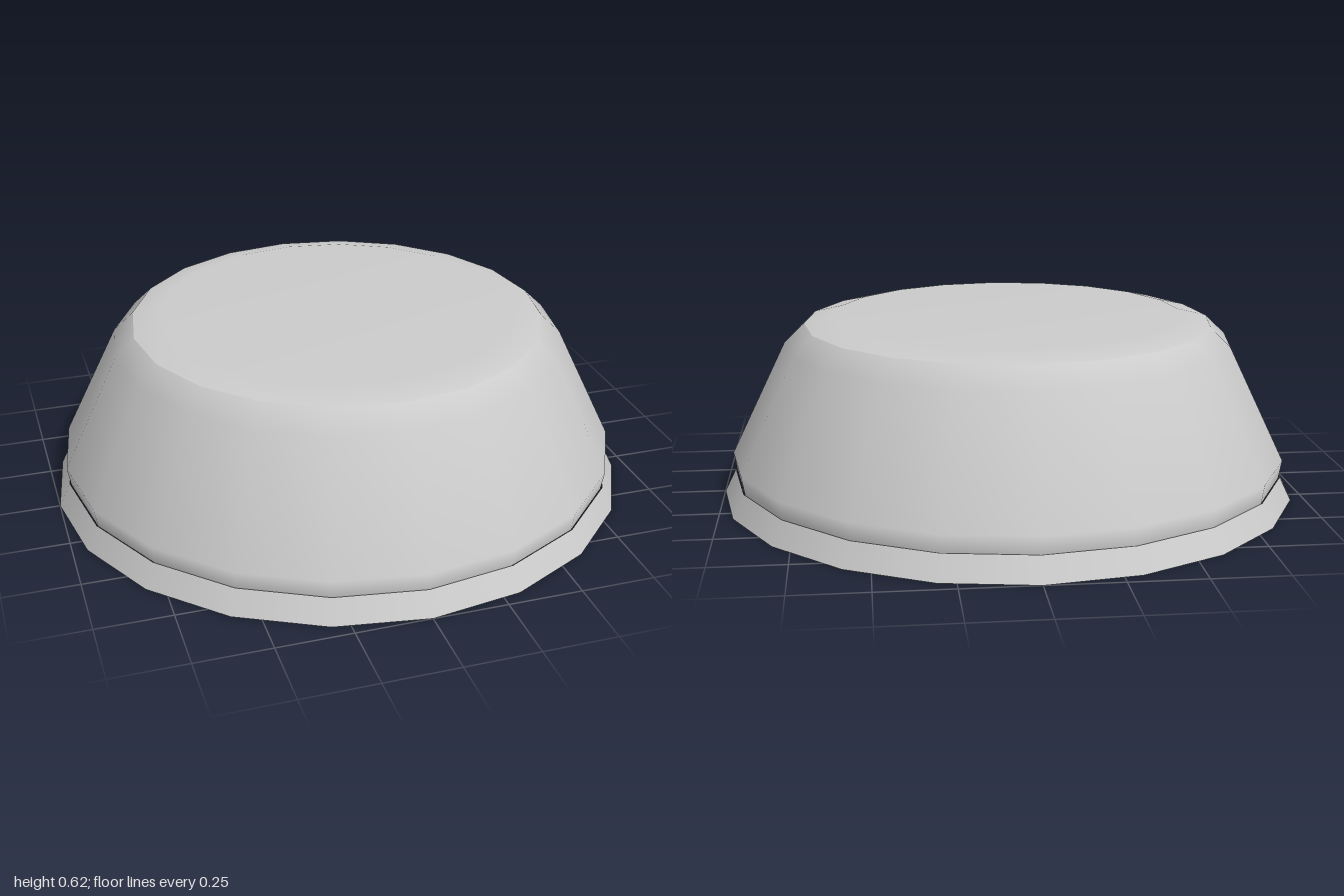
import * as THREE from 'three';

const SIDES = 20;

export function createModel() {
  const group = new THREE.Group();
  const material = new THREE.MeshStandardMaterial({ color: 0xcccccc });

  // Revolves a [radius, height] profile, listed from bottom to top
  function turned(name, profile) {
    const points = profile.map(([r, y]) => new THREE.Vector2(r, y));
    const mesh = new THREE.Mesh(new THREE.LatheGeometry(points, SIDES), material);
    mesh.name = name;
    group.add(mesh);
  }

  // Flat underside
  turned('underside', [[0, 0], [1, 0]]);
  // Flared foot ring
  turned('footRing', [[1, 0], [0.96, 0.08]]);
  // Tapered wall with a rounded lower lip and shoulder
  turned('wall', [[0.955, 0.076], [0.966, 0.14], [0.775, 0.53], [0.706, 0.596]]);
  // Shallow top with a bevelled edge
  turned('top', [[0.706, 0.596], [0.606, 0.62], [0, 0.62]]);

  return group;
}
